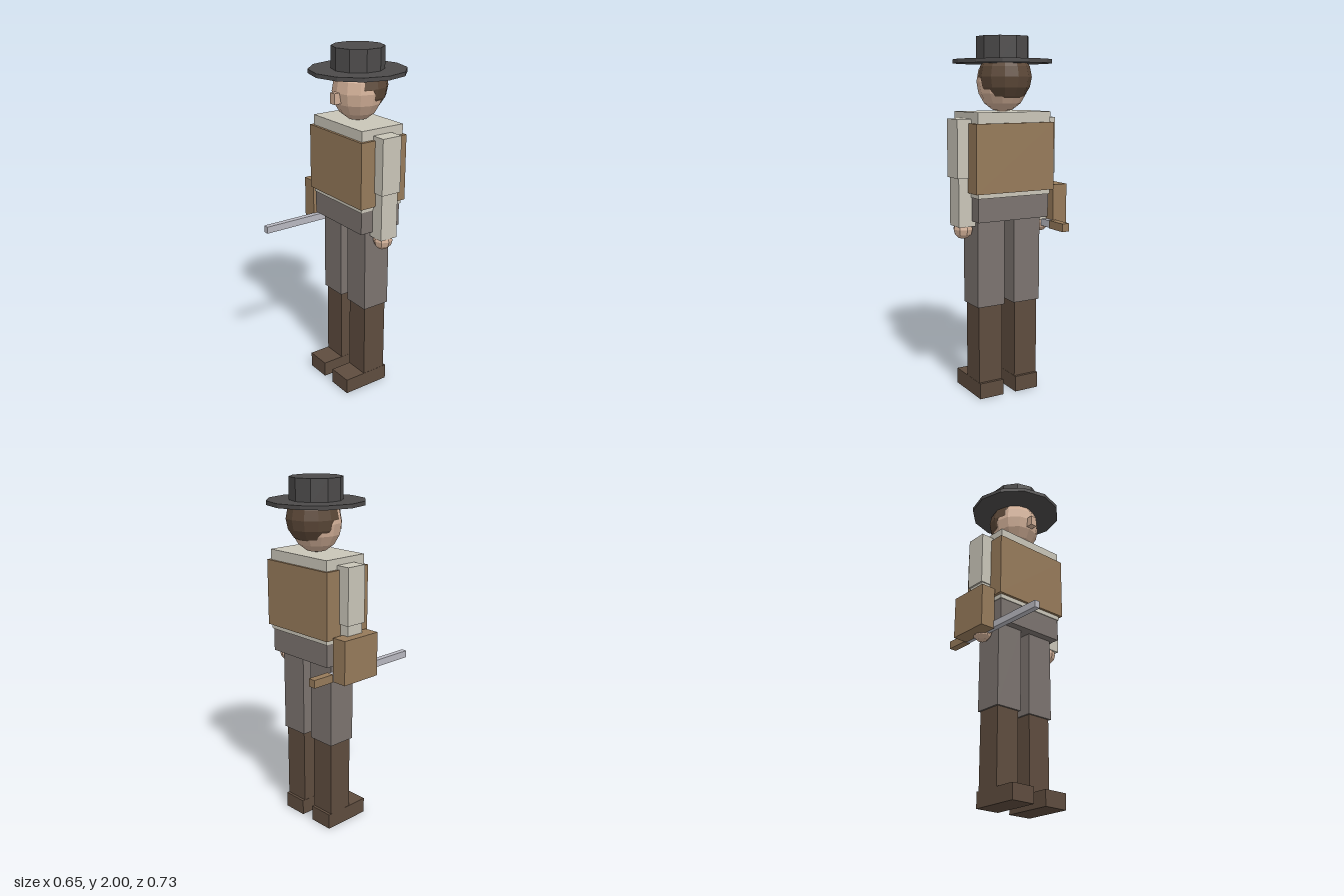
import * as THREE from 'three';

const CX = 0.019, CZ = -0.098; // middle of the body

export function createModel() {
  const root = new THREE.Group();
  root.name = 'figure';

  const mat = (name, color) => {
    const m = new THREE.MeshStandardMaterial({ color, flatShading: true });
    m.name = name;
    return m;
  };
  const shirt = mat('shirtCream', 0xc9c5b8);
  const tan = mat('leatherTan', 0x967a5a);
  const trousers = mat('trouserGrey', 0x7b736f);
  const boot = mat('bootBrown', 0x5e4c3e);
  const skin = mat('skin', 0xd0ae96);
  const hair = mat('hairBrown', 0x5c4838);
  const felt = mat('hatCharcoal', 0x4c4a4a);
  const steel = mat('steel', 0xb8b8c0);

  const add = (name, geometry, material, x, y, z) => {
    const mesh = new THREE.Mesh(geometry, material);
    mesh.name = name;
    mesh.position.set(x, y, z);
    root.add(mesh);
    return mesh;
  };
  // box given by its lower and upper bounds on each axis
  const box = (name, material, [x0, x1], [y0, y1], [z0, z1]) =>
    add(name, new THREE.BoxGeometry(x1 - x0, y1 - y0, z1 - z0), material,
      (x0 + x1) / 2, (y0 + y1) / 2, (z0 + z1) / 2);

  // torso
  box('hips', trousers, [-0.2, 0.238], [1.015, 1.15], [-0.228, 0.035]);
  box('shirtBody', shirt, [-0.205, 0.243], [1.145, 1.6], [-0.235, 0.04]);
  box('vest', tan, [-0.222, 0.26], [1.17, 1.542], [-0.248, 0.055]);

  // limbs, mirrored about the middle of the body
  for (const [side, s] of [['left', 1], ['right', -1]]) {
    const limb = (part, material, dx, w, y, z) => {
      const c = CX + s * dx;
      box(side + part, material, [c - w / 2, c + w / 2], y, z);
    };
    limb('Thigh', trousers, 0.114, 0.166, [0.53, 1.02], [-0.177, -0.01]);
    limb('BootShaft', boot, 0.114, 0.145, [0.08, 0.535], [-0.167, -0.021]);
    limb('Foot', boot, 0.114, 0.147, [0, 0.09], [-0.183, 0.105]);
    limb('UpperArm', shirt, 0.245, 0.124, [1.25, 1.565], [-0.158, -0.035]);
    limb('Forearm', shirt, 0.243, 0.108, [0.985, 1.252], [-0.15, -0.042]);
    add(side + 'Hand', new THREE.SphereGeometry(0.055, 8, 6), skin,
      CX + s * 0.246, 0.966, -0.095);
  }

  // head, hair and nose
  add('head', new THREE.SphereGeometry(0.1415, 12, 8), skin, CX, 1.76, CZ).scale.y = 1.16;
  add('hair', new THREE.SphereGeometry(0.146, 12, 8), hair, CX, 1.785, -0.125);
  box('nose', skin, [0, 0.04], [1.705, 1.765], [0.02, 0.072]);

  // hat
  add('hatBrim', new THREE.CylinderGeometry(0.27, 0.27, 0.022, 12), felt, CX, 1.868, CZ);
  add('hatCrown', new THREE.CylinderGeometry(0.146, 0.146, 0.13, 10), felt, CX, 1.935, CZ);

  // gear carried on the right side
  box('satchel', tan, [-0.329, -0.24], [0.945, 1.192], [-0.221, 0.026]);
  box('rodBarrel', steel, [-0.245, -0.212], [0.95, 0.99], [-0.235, 0.364]);
  box('rodStock', tan, [-0.251, -0.207], [0.948, 0.993], [-0.365, -0.232]);

  return root;
}
